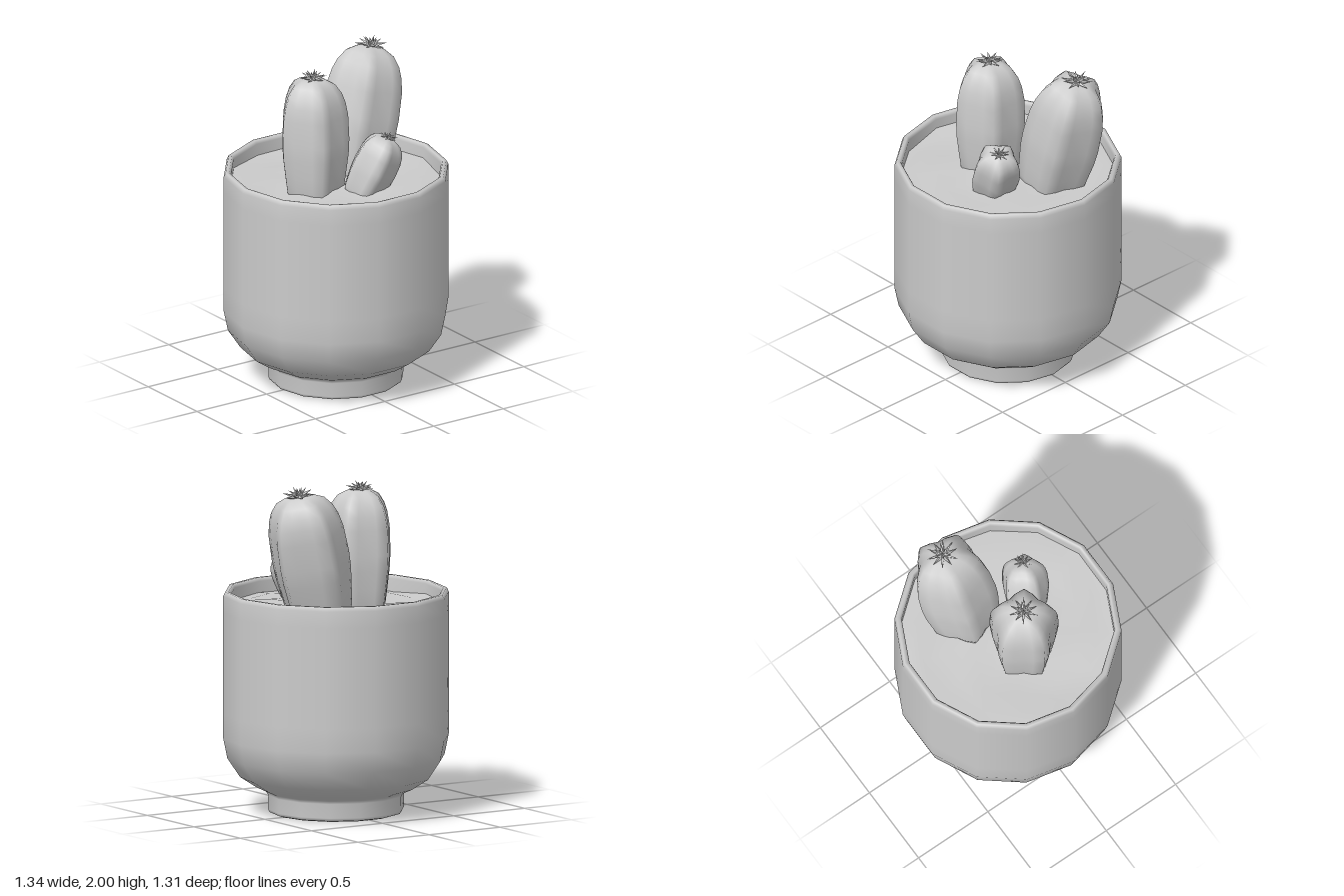
import * as THREE from 'three';
import { mergeGeometries, mergeVertices } from 'three/addons/utils/BufferGeometryUtils.js';

const SIDES = 14;
const UP = new THREE.Vector3(0, 1, 0);
const grey = new THREE.MeshStandardMaterial({ color: 0xcccccc });

function addMesh(parent, name, geometry) {
  const mesh = new THREE.Mesh(geometry, grey);
  mesh.name = name;
  parent.add(mesh);
  return mesh;
}

function lathe(points, sides) {
  return new THREE.LatheGeometry(points.map(([r, y]) => new THREE.Vector2(r, y)), sides, Math.PI / 2);
}

// Weld the seam and poles, then recompute smooth normals
function smooth(geometry) {
  geometry.deleteAttribute('uv');
  geometry.deleteAttribute('normal');
  const welded = mergeVertices(geometry, 1e-4);
  welded.computeVertexNormals();
  return welded;
}

// Move each vertex by a rule
function displace(geometry, rule) {
  const pos = geometry.attributes.position;
  const v = new THREE.Vector3();
  for (let i = 0; i < pos.count; i++) {
    rule(v.fromBufferAttribute(pos, i));
    pos.setXYZ(i, v.x, v.y, v.z);
  }
  return geometry;
}

// Five-ribbed cactus body: unit profile scaled to radius and length
function cactusBody(radius, length, ribAngle) {
  const profile = [[0.78, 0], [0.85, 0.05], [0.91, 0.18], [0.98, 0.34], [1, 0.47], [0.97, 0.68],
    [0.9, 0.79], [0.8, 0.87], [0.62, 0.945], [0.37, 0.985], [0, 1]];
  const body = lathe(profile.map(([r, t]) => [r * radius, t * length]), 20);
  const spin = THREE.MathUtils.degToRad(ribAngle);
  displace(body, (v) => {
    const a = Math.atan2(v.z, v.x);
    const rib = 0.785 + 0.215 * Math.pow(Math.abs(Math.cos(2.5 * a)), 2.5);
    const r = Math.hypot(v.x, v.z) * rib;
    v.set(r * Math.cos(a + spin), v.y, r * Math.sin(a + spin));
  });
  return smooth(body);
}

// Star-shaped tuft of thin pointed spikes
function spikeTuft(radius) {
  const spikes = [];
  const rings = [[10, 6, 1], [6, 38, 0.75], [3, 68, 0.55]]; // count, elevation, length
  rings.forEach(([count, elevation, scale], ring) => {
    for (let i = 0; i < count; i++) {
      const a = ((i + ring * 0.4) / count) * Math.PI * 2;
      const e = THREE.MathUtils.degToRad(elevation + (i % 2) * 10);
      const dir = new THREE.Vector3(Math.cos(a) * Math.cos(e), Math.sin(e), Math.sin(a) * Math.cos(e));
      const len = radius * scale;
      const spike = new THREE.ConeGeometry(radius * 0.17, len, 4).toNonIndexed();
      spike.translate(0, len / 2, 0);
      spike.applyQuaternion(new THREE.Quaternion().setFromUnitVectors(UP, dir));
      spike.computeVertexNormals();
      spikes.push(spike);
    }
  });
  return mergeGeometries(spikes);
}

function addCactus(parent, { name, base, tip, radius, ribAngle, tuft }) {
  const group = new THREE.Group();
  group.name = name;
  const start = new THREE.Vector3(...base);
  const axis = new THREE.Vector3(...tip).sub(start);
  const length = axis.length();
  group.position.copy(start);
  group.quaternion.setFromUnitVectors(UP, axis.normalize());
  addMesh(group, 'cactusBody', cactusBody(radius, length, ribAngle));
  const flower = addMesh(group, 'spikeTuft', spikeTuft(tuft));
  flower.position.y = length - 0.005;
  // Tufts stay nearly upright on leaning cacti
  flower.quaternion.copy(group.quaternion).invert().slerp(new THREE.Quaternion(), 0.5);
  parent.add(group);
}

export function createModel() {
  const model = new THREE.Group();
  model.name = 'pottedCactus';

  // Pot: foot, rounded bowl, straight wall, rolled rim and inner wall
  addMesh(model, 'pot', lathe([
    [0, 0], [0.37, 0], [0.395, 0.008], [0.404, 0.025], [0.402, 0.11], [0.415, 0.13], [0.47, 0.155],
    [0.57, 0.22], [0.645, 0.333], [0.67, 0.455], [0.67, 0.6], [0.67, 1.2], [0.67, 1.3],
    [0.658, 1.325], [0.638, 1.325], [0.627, 1.305], [0.627, 1.15],
  ], SIDES));

  // Soil: gently uneven disc inside the rim
  const soil = lathe([[0.635, 1.235], [0.54, 1.235], [0.42, 1.235], [0.28, 1.235], [0.14, 1.235], [0, 1.235]], SIDES);
  displace(soil, (v) => {
    v.y += 0.012 * Math.sin(9 * v.x + 2) * Math.cos(8 * v.z) + 0.008 * Math.sin(17 * v.z - 11 * v.x);
  });
  addMesh(model, 'soil', smooth(soil));

  // Three cacti
  [
    { name: 'rightCactus', base: [-0.165, 1.2, 0], tip: [-0.165, 1.915, -0.005], radius: 0.215, ribAngle: 180, tuft: 0.088 },
    { name: 'leftCactus', base: [0.21, 1.2, -0.15], tip: [0.39, 1.945, -0.195], radius: 0.242, ribAngle: -18, tuft: 0.098 },
    { name: 'smallCactus', base: [0.05, 1.2, 0.17], tip: [0.2, 1.54, 0.248], radius: 0.145, ribAngle: 40, tuft: 0.06 },
  ].forEach((spec) => addCactus(model, spec));

  return model;
}
